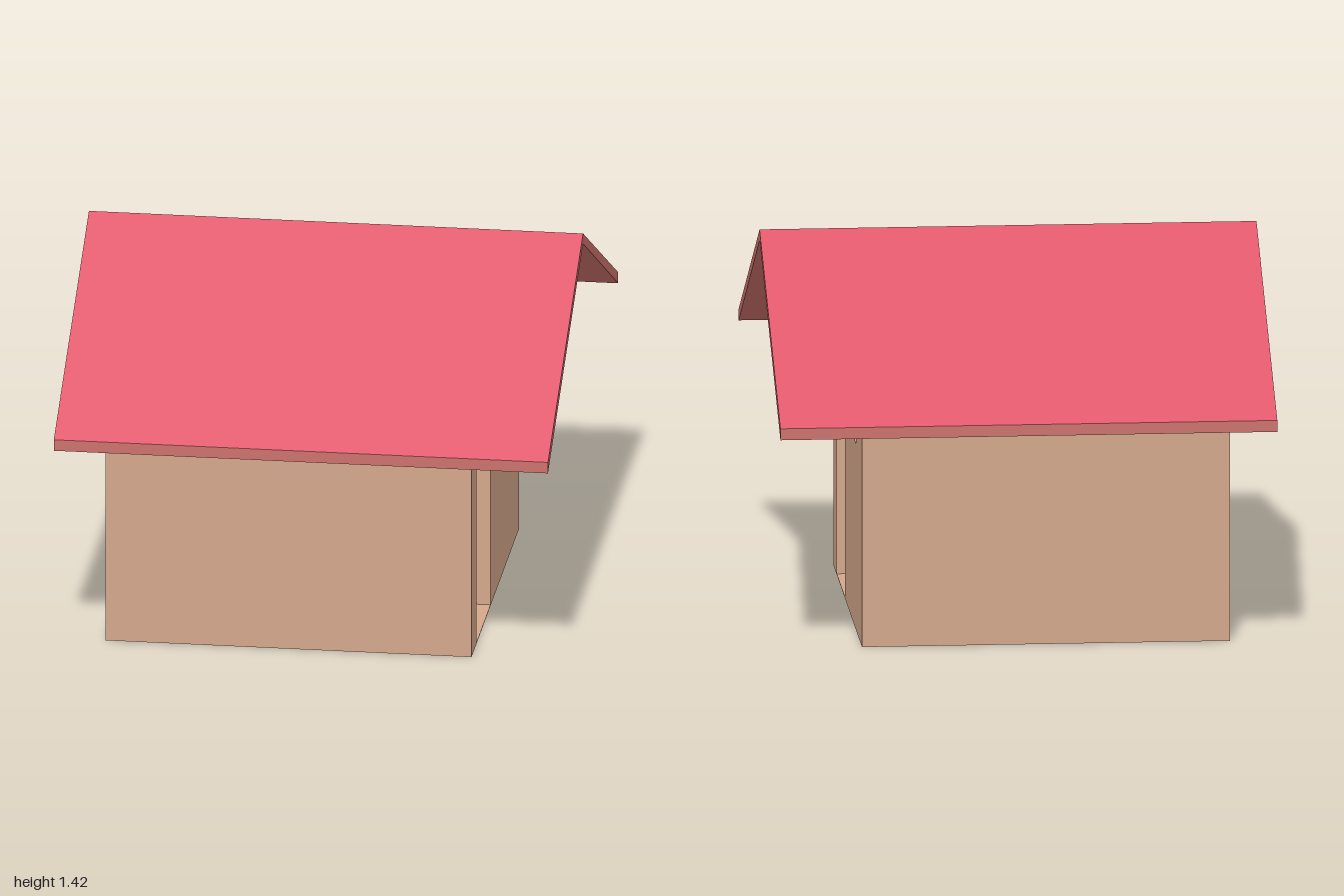
import * as THREE from 'three';

const V = (x, y, z) => new THREE.Vector3(x, y, z);

// Flat quads, each wound to face away from a reference point (or towards it when inward)
function quads(list, ref, inward = false) {
  const pos = [];
  for (const q of list) {
    const [a, b, c, d] = q.map((p) => V(...p));
    const n = b.clone().sub(a).cross(c.clone().sub(a));
    const facesOut = n.dot(a.clone().sub(ref)) > 0;
    const order = facesOut !== inward ? [a, b, c, a, c, d] : [a, c, b, a, d, c];
    for (const p of order) pos.push(p.x, p.y, p.z);
  }
  const g = new THREE.BufferGeometry();
  g.setAttribute('position', new THREE.Float32BufferAttribute(pos, 3));
  g.computeVertexNormals();
  return g;
}

export function createModel() {
  const house = new THREE.Group();
  house.name = 'house';
  const mat = (color) => new THREE.MeshStandardMaterial({ color });
  const wall = mat(0xd3a78a), roofRed = mat(0xe0566b), trim = mat(0xcb716c);
  const wood = mat(0x68442a), glass = mat(0x9bb5ca);
  const add = (name, geometry, material, parent = house) => {
    const mesh = new THREE.Mesh(geometry, material);
    mesh.name = name;
    parent.add(mesh);
    return mesh;
  };

  const x0 = -0.765, x1 = 0.59, W = 0.677, peak = 1.385, eave = 0.857;
  const wallTop = peak - (peak - eave) * W;

  // Side walls and base
  add('sideWallsAndBase', quads([
    [[x0, 0, W], [x1, 0, W], [x1, wallTop, W], [x0, wallTop, W]],
    [[x0, 0, -W], [x1, 0, -W], [x1, wallTop, -W], [x0, wallTop, -W]],
    [[x0, 0, -W], [x1, 0, -W], [x1, 0, W], [x0, 0, W]],
  ], V(0, 0.5, 0)), wall);

  // Gable walls, drawn in (-z, y); the entrance one has door and window holes
  const gable = () => new THREE.Shape([[-W, 0], [W, 0], [W, wallTop], [0, peak], [-W, wallTop]]
    .map((p) => new THREE.Vector2(...p)));
  add('plainGable', new THREE.ShapeGeometry(gable()).rotateY(-Math.PI / 2).translate(x0, 0, 0), wall);

  const entrance = gable();
  const openings = [
    { name: 'door', z0: 0.135, z1: 0.53, y0: 0.003, y1: 0.7, depth: 0.11, material: wood },
    { name: 'window', z0: -0.4, z1: -0.065, y0: 0.7, y1: 1.0, depth: 0.073, material: glass },
  ];
  for (const { name, z0, z1, y0, y1, depth, material } of openings) {
    entrance.holes.push(new THREE.Path([[-z1, y0], [-z1, y1], [-z0, y1], [-z0, y0]]
      .map((p) => new THREE.Vector2(...p))));
    // Recess lining and the panel at its back
    const xb = x1 - depth;
    const centre = V((x1 + xb) / 2, (y0 + y1) / 2, (z0 + z1) / 2);
    const rim = [[y0, z0], [y0, z1], [y1, z1], [y1, z0]];
    const lining = rim.map((p, i) => {
      const q = rim[(i + 1) % 4];
      return [[xb, ...p], [x1, ...p], [x1, ...q], [xb, ...q]];
    });
    add(name + 'Recess', quads(lining, centre, true), wall);
    add(name, quads([rim.map((p) => [xb, ...p])], centre, true), material);
  }
  add('entranceGable', new THREE.ShapeGeometry(entrance).rotateY(Math.PI / 2).translate(x1, 0, 0), wall);

  // Two mirrored roof slopes: red top, lighter edges and underside
  const R = 0.915, ridge = 1.425, eaveTop = 0.9;
  for (const s of [1, -1]) {
    const slope = new THREE.Group();
    slope.name = s > 0 ? 'frontRoofSlope' : 'backRoofSlope';
    house.add(slope);
    const mid = V(0, (ridge + eave) / 2, s * 0.5);
    add('roofTop', quads([
      [[-R, ridge, 0], [R, ridge, 0], [R, eaveTop, s], [-R, eaveTop, s]],
    ], mid), roofRed, slope);
    add('roofTrim', quads([
      [[-R, peak, 0], [R, peak, 0], [R, eave, s], [-R, eave, s]],
      [[-R, eave, s], [R, eave, s], [R, eaveTop, s], [-R, eaveTop, s]],
      ...[-R, R].map((x) => [[x, peak, 0], [x, ridge, 0], [x, eaveTop, s], [x, eave, s]]),
    ], mid), trim, slope);
  }
  return house;
}
